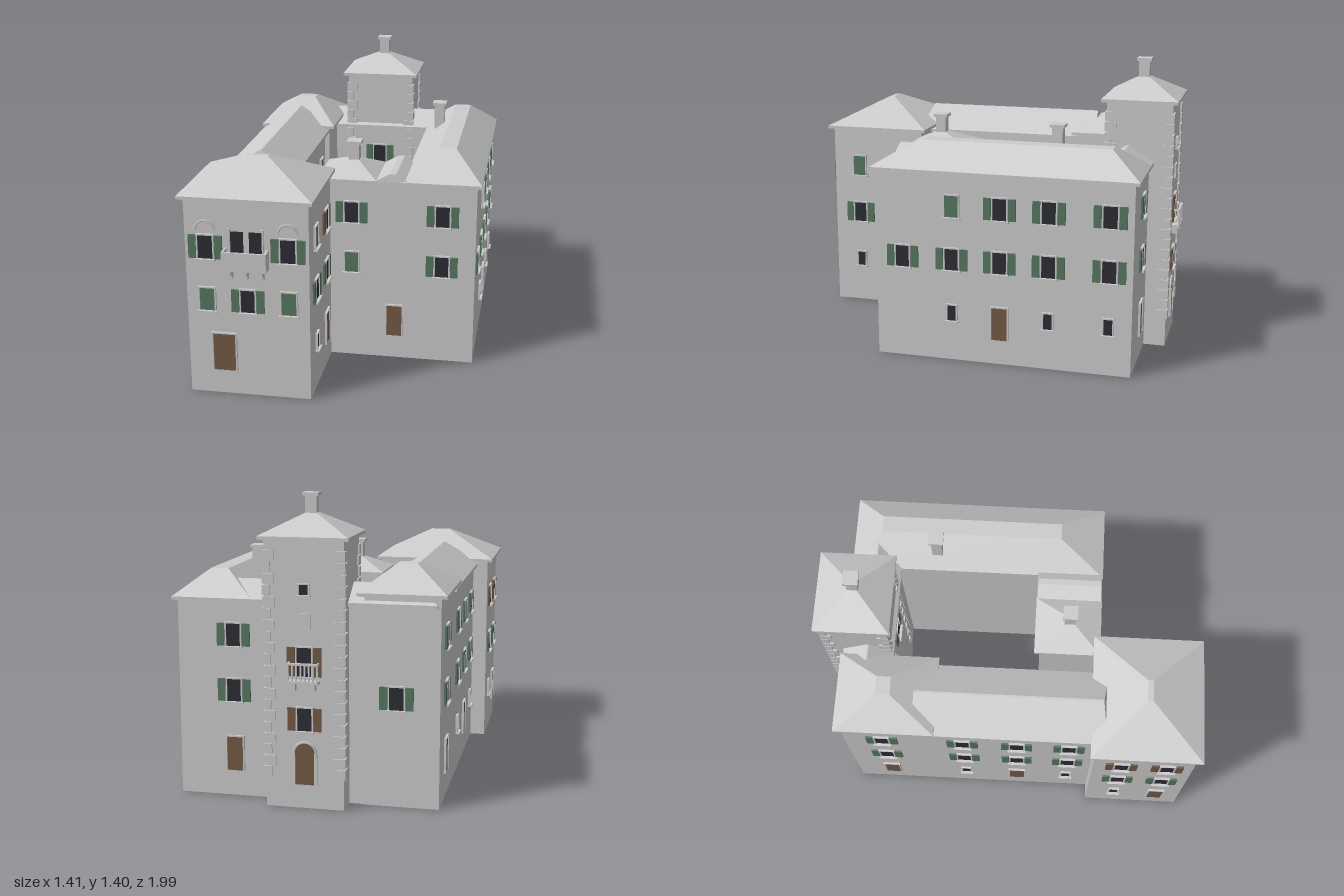
import * as THREE from 'three';

const mat = (name, color, side = THREE.FrontSide) => {
  const m = new THREE.MeshStandardMaterial({ color, side });
  m.name = name;
  return m;
};

export function createModel() {
  const stone = mat('stone', 0xcccccc, THREE.DoubleSide);
  const green = mat('green shutter', 0x55785f);
  const brown = mat('brown wood', 0x735a44);
  const dark = mat('dark glass', 0x2c2c35);

  const root = new THREE.Group();
  root.name = 'villa';
  const house = new THREE.Group();
  house.name = 'house';
  house.rotation.y = 0.125; // the plan stands slightly askew
  root.add(house);

  const add = (parent, name, geo, material, x = 0, y = 0, z = 0) => {
    const m = new THREE.Mesh(geo, material);
    m.name = name;
    m.position.set(x, y, z);
    parent.add(m);
    return m;
  };
  const box = (parent, name, material, w, h, d, x, y, z) =>
    add(parent, name, new THREE.BoxGeometry(w, h, d), material, x, y, z);

  // Stack of rectangles [x0, x1, z0, z1, y] joined by flat faces
  const loft = (name, rects, capped) => {
    const rings = rects.map(([x0, x1, z0, z1, y]) =>
      [[x0, y, z1], [x1, y, z1], [x1, y, z0], [x0, y, z0]]);
    const pos = [];
    const quad = (a, b, c, d) => pos.push(...a, ...b, ...c, ...a, ...c, ...d);
    for (let r = 0; r < rings.length - 1; r++) {
      for (let i = 0; i < 4; i++) {
        const j = (i + 1) % 4;
        quad(rings[r][i], rings[r][j], rings[r + 1][j], rings[r + 1][i]);
      }
    }
    if (capped) {
      quad(...rings[rings.length - 1]);
      quad(...[...rings[0]].reverse());
    }
    const g = new THREE.BufferGeometry();
    g.setAttribute('position', new THREE.Float32BufferAttribute(pos, 3));
    g.computeVertexNormals();
    return add(house, name, g, stone);
  };
  const walls = (name, x0, x1, z0, z1, h) =>
    loft(name, [[x0, x1, z0, z1, 0], [x0, x1, z0, z1, h]], false);
  // Hip roof with a thin eave board; top = [x0, x1, z0, z1]
  const roof = (name, x0, x1, z0, z1, eave, ridge, top) =>
    loft(name, [[x0, x1, z0, z1, eave], [x0, x1, z0, z1, eave + 0.015], [...top, ridge]], true);

  // Wall volumes
  walls('frontPavilionWalls', -0.65, -0.076, 0.39, 0.882, 0.957);
  walls('westWingWalls', -0.575, -0.26, -0.45, 0.39, 0.93);
  walls('northwestBlockWalls', -0.575, -0.235, -0.85, -0.41, 0.955);
  walls('northWingWalls', -0.575, 0.63, -0.845, -0.64, 0.91);
  walls('eastWingWalls', 0.3, 0.632, -0.845, 0.382, 0.91);
  walls('frontLinkWalls', -0.115, 0.632, 0.1, 0.382, 0.91);
  walls('towerWalls', -0.165, 0.192, -0.95, -0.635, 1.205);

  // Roofs
  roof('frontPavilionRoof', -0.675, -0.054, 0.367, 0.907, 0.955, 1.1, [-0.415, -0.312, 0.622, 0.65]);
  roof('westWingRoof', -0.597, -0.235, -0.5, 0.45, 0.93, 1.055, [-0.415, -0.405, -0.49, 0.42]);
  roof('northwestBlockRoof', -0.603, -0.205, -0.873, -0.387, 0.955, 1.08, [-0.44, -0.35, -0.67, -0.6]);
  roof('northWingRoof', -0.56, 0.6, -0.868, -0.617, 0.91, 1.0, [-0.45, 0.47, -0.745, -0.735]);
  roof('eastWingRoof', 0.278, 0.654, -0.868, 0.404, 0.91, 1.04, [0.43, 0.512, -0.72, 0.185]);
  roof('smallPavilionRoof', -0.14, 0.151, 0.074, 0.402, 0.91, 0.99, [0, 0.04, 0.224, 0.264]);
  roof('linkRoof', 0.14, 0.31, 0.076, 0.4, 0.905, 0.962, [0.215, 0.245, 0.08, 0.396]);
  roof('towerRoof', -0.19, 0.217, -0.975, -0.61, 1.205, 1.312, [-0.01, 0.036, -0.81, -0.768]);

  // Chimneys
  for (const [x, z, y0, y1] of [[0.015, -0.787, 1.29, 1.4], [0.367, -0.437, 0.95, 1.12], [0.02, 0.244, 0.96, 1.08]]) {
    box(house, 'chimney', stone, 0.052, y1 - y0 - 0.014, 0.052, x, (y0 + y1 - 0.014) / 2, z);
    box(house, 'chimneyCap', stone, 0.072, 0.014, 0.072, x, y1 - 0.007, z);
  }

  // Corner stones of the tower, alternately long and short
  for (const [x, z, sx, sz] of [[-0.165, -0.95, -1, -1], [0.192, -0.95, 1, -1], [-0.165, -0.635, -1, 1], [0.192, -0.635, 1, 1]]) {
    for (let i = 0; i < 20; i++) {
      const a = i % 2 ? 0.055 : 0.036, b = i % 2 ? 0.036 : 0.055;
      box(house, 'cornerStone', stone, a, 0.044, b,
        x - sx * (a / 2 - 0.008), 0.165 + i * 0.0512, z - sz * (b / 2 - 0.008));
    }
  }

  // Facades: local x runs along the wall, local z points outwards
  const turn = { south: 0, east: Math.PI / 2, north: Math.PI, west: -Math.PI / 2 };
  const spot = (side, plane, s, name) => {
    const g = new THREE.Group();
    g.name = name;
    g.rotation.y = turn[side];
    if (side === 'south' || side === 'north') g.position.set(s, 0, plane);
    else g.position.set(plane, 0, s);
    house.add(g);
    return g;
  };
  const surround = (g, w, h, y) => {
    for (const s of [-1, 1]) box(g, 'jamb', stone, 0.007, h, 0.014, s * (w / 2 + 0.003), y, 0.004);
    box(g, 'lintel', stone, w + 0.013, 0.007, 0.014, 0, y + h / 2 + 0.003, 0.004);
  };
  const pane = (g, name, m, w, h, y) => box(g, name, m, w, h, 0.008, 0, y, 0.002);
  // shutters: material of open shutters, or closed = true for a shut window
  const window_ = (side, plane, s, y, shutters = green, closed = false, w = 0.066, h = 0.104) => {
    const g = spot(side, plane, s, 'window');
    pane(g, closed ? 'closedShutter' : 'glass', closed ? shutters : dark, w, h, y);
    surround(g, w, h, y);
    box(g, 'sill', stone, w + 0.024, 0.008, 0.024, 0, y - h / 2 - 0.004, 0.008);
    if (shutters && !closed) {
      for (const k of [-1, 1]) box(g, 'shutter', shutters, 0.036, h, 0.009, k * (w / 2 + 0.026), y, 0.005);
    }
    return g;
  };
  const vent = (side, plane, s) => window_(side, plane, s, 0.236, null, false, 0.042, 0.076);
  const door = (side, plane, s, w = 0.076, top = 0.28) => {
    const g = spot(side, plane, s, 'door');
    pane(g, 'doorLeaf', brown, w, top - 0.12, (top + 0.12) / 2);
    surround(g, w, top - 0.12, (top + 0.12) / 2);
  };
  const UP = 0.757, MID = 0.5;

  // Front pavilion, south face
  const S = 0.882;
  for (const s of [-0.554, -0.171]) {
    const g = window_('south', S, s, 0.73, green, false, 0.07, 0.112);
    add(g, 'archMoulding', new THREE.TorusGeometry(0.045, 0.005, 4, 16, Math.PI), stone, 0, 0.81, 0.003);
    window_('south', S, s, 0.475, green, true, 0.07, 0.11);
  }
  window_('south', S, -0.363, 0.475, green, false, 0.066, 0.11);
  door('south', S, -0.481, 0.106, 0.305);

  // Front balcony with its pair of glazed doors
  const bal = spot('south', S, -0.363, 'frontBalcony');
  for (const k of [-1, 1]) {
    box(bal, 'balconyGlass', dark, 0.058, 0.16, 0.008, k * 0.043, 0.73, 0.002);
    box(bal, 'jamb', stone, 0.007, 0.18, 0.014, k * 0.077, 0.735, 0.004);
    box(bal, 'balconySide', stone, 0.01, 0.09, 0.06, k * 0.098, 0.685, 0.03);
  }
  box(bal, 'balconyFloor', stone, 0.206, 0.012, 0.06, 0, 0.646, 0.03);
  box(bal, 'balconyParapet', stone, 0.206, 0.09, 0.01, 0, 0.685, 0.056);
  for (const s of [-0.073, 0, 0.073]) {
    box(bal, 'bracket', stone, 0.02, 0.03, 0.05, s, 0.626, 0.025);
    box(bal, 'bracketFoot', stone, 0.016, 0.022, 0.026, s, 0.601, 0.013);
  }

  // Link and east wing, south face
  window_('south', 0.382, 0.028, UP);
  window_('south', 0.382, 0.028, MID, green, true);
  for (const y of [UP, MID]) window_('south', 0.382, 0.471, y);
  door('south', 0.382, 0.241);

  // East faces of the pavilion and the east wing
  window_('east', -0.076, 0.741, UP, green, true);
  window_('east', -0.076, 0.504, UP, brown);
  for (const s of [0.741, 0.504]) window_('east', -0.076, s, MID);
  vent('east', -0.076, 0.741);
  door('east', -0.076, 0.504);
  const E = 0.632;
  window_('east', E, 0.009, UP, green, true);
  for (const s of [-0.223, -0.455, -0.737]) window_('east', E, s, UP);
  for (const s of [0.251, 0.009, -0.223, -0.455, -0.737]) window_('east', E, s, MID);
  for (const s of [0.009, -0.455, -0.737]) vent('east', E, s);
  door('east', E, -0.223);

  // West faces
  for (const s of [-0.66, -0.26, 0.01, 0.27]) for (const y of [UP, MID]) window_('west', -0.575, s, y);
  door('west', -0.575, -0.66);
  door('west', -0.575, 0.01);
  for (const s of [-0.26, 0.27]) vent('west', -0.575, s);
  for (const s of [0.53, 0.755]) for (const y of [UP, MID]) window_('west', -0.65, s, y, y === UP ? brown : green);
  vent('west', -0.65, 0.53);
  door('west', -0.65, 0.755);

  // North faces and courtyard
  for (const y of [UP, MID]) window_('north', -0.845, 0.37, y);
  door('north', -0.845, 0.37);
  window_('north', -0.85, -0.38, MID);
  window_('south', -0.635, 0.013, UP);
  window_('east', -0.26, -0.3, UP, green, true);
  window_('north', 0.1, 0.02, UP, brown);

  // Tower, north face
  const T = -0.95, C = 0.013;
  window_('north', T, C, 0.99, null, false, 0.04, 0.045);
  const blank = spot('north', T, C, 'blankPanel');
  box(blank, 'panel', stone, 0.062, 0.07, 0.016, 0, 0.85, 0);
  window_('north', T, C, 0.67, brown, false, 0.066, 0.13);
  window_('north', T, C, 0.41, brown);
  const rail = spot('north', T, C, 'towerBalcony');
  box(rail, 'balconyFloor', stone, 0.14, 0.012, 0.04, 0, 0.584, 0.02);
  box(rail, 'handrail', stone, 0.14, 0.01, 0.012, 0, 0.665, 0.034);
  for (let i = 0; i < 8; i++) box(rail, 'baluster', stone, 0.007, 0.075, 0.007, -0.066 + i * 0.0189, 0.625, 0.034);
  for (const k of [-1, 1]) {
    box(rail, 'sideRail', stone, 0.008, 0.01, 0.034, k * 0.066, 0.665, 0.017);
    box(rail, 'bracket', stone, 0.018, 0.035, 0.03, k * 0.045, 0.561, 0.015);
  }

  // Arched tower door
  const gate = spot('north', T, C, 'archedDoor');
  const leaf = new THREE.Shape();
  leaf.moveTo(-0.045, 0.11).lineTo(0.045, 0.11).lineTo(0.045, 0.255);
  leaf.absarc(0, 0.255, 0.045, 0, Math.PI, false);
  add(gate, 'doorLeaf', new THREE.ExtrudeGeometry(leaf, { depth: 0.006, bevelEnabled: false, curveSegments: 10 }), brown);
  add(gate, 'doorArch', new THREE.TorusGeometry(0.05, 0.007, 4, 14, Math.PI), stone, 0, 0.255, 0.004);
  for (const k of [-1, 1]) box(gate, 'jamb', stone, 0.013, 0.145, 0.016, k * 0.05, 0.183, 0.004);

  return root;
}
